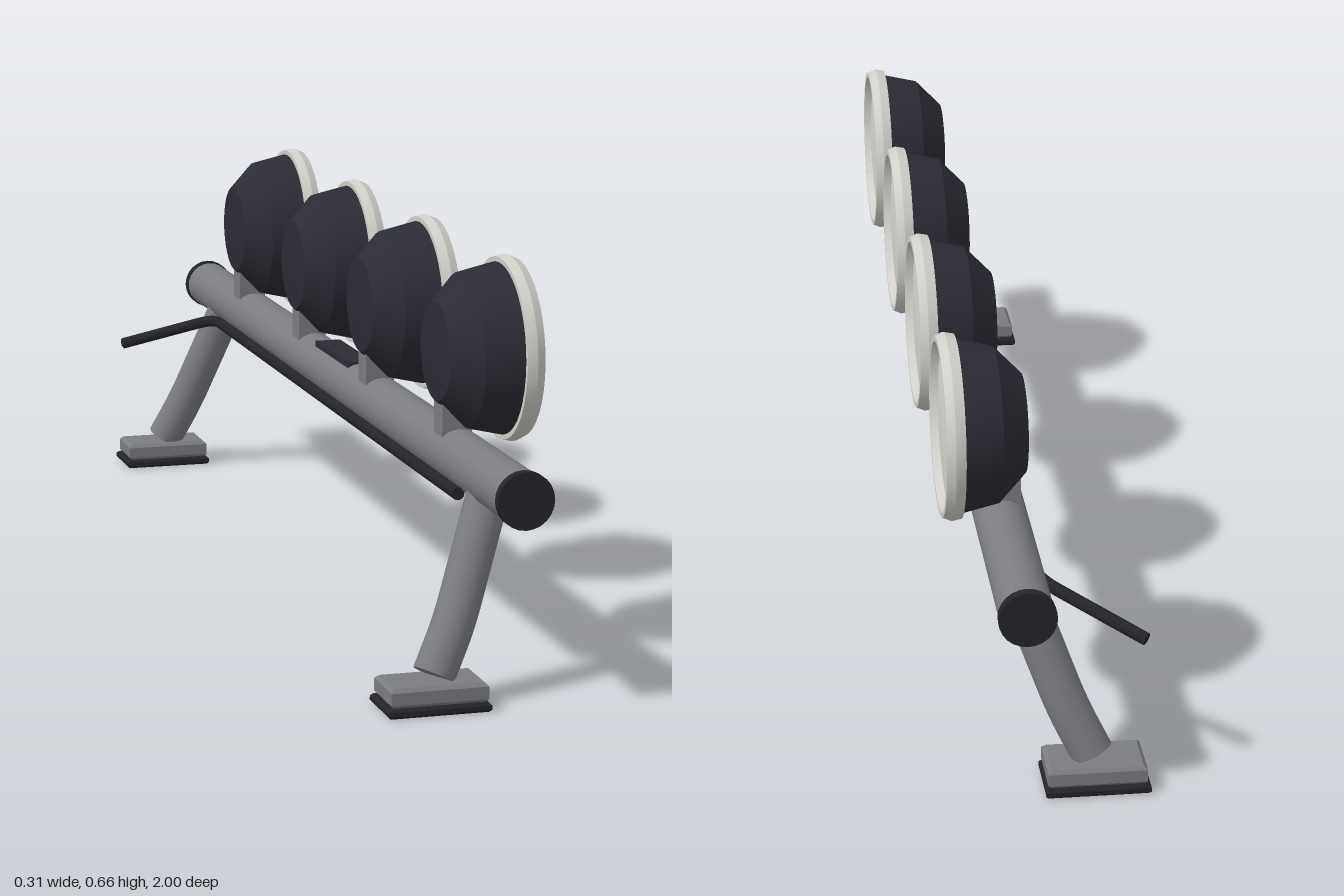
import * as THREE from 'three';
import { toCreasedNormals } from 'three/addons/utils/BufferGeometryUtils.js';

const mat = (name, color) => {
  const m = new THREE.MeshStandardMaterial({ color });
  m.name = name;
  return m;
};

export function createModel() {
  const steel = mat('grey steel', 0x7b7c80);
  const housing = mat('dark housing', 0x2b2b35);
  const rubber = mat('black rubber', 0x24242b);
  const trim = mat('pale trim', 0xcfcec8);
  const glass = mat('lens glass', 0xd6d6d2);
  const model = new THREE.Group();
  model.name = 'lightBar';

  const add = (parent, name, geo, material, x = 0, y = 0, z = 0) => {
    const mesh = new THREE.Mesh(geo, material);
    mesh.name = name;
    mesh.position.set(x, y, z);
    parent.add(mesh);
    return mesh;
  };
  const V = (x, y, z) => new THREE.Vector3(x, y, z);

  // Lathe turned so that its axis points along +x; profile is [radius, x]
  const turned = (profile, segments = 40) => toCreasedNormals(
    new THREE.LatheGeometry(profile.map(([r, x]) => new THREE.Vector2(r, x)), segments)
      .rotateZ(-Math.PI / 2), 0.35);

  // Cylinder along z
  const rod = (r, length) => new THREE.CylinderGeometry(r, r, length, 24).rotateX(Math.PI / 2);

  // Closed round tube through straight segments with softened bends
  const pipe = (points, r, sides) => {
    const path = new THREE.CurvePath();
    let start = points[0];
    for (let i = 1; i < points.length - 1; i++) {
      const p = points[i];
      const a = p.clone().lerp(points[i - 1], Math.min(0.4, 0.04 / p.distanceTo(points[i - 1])));
      const b = p.clone().lerp(points[i + 1], Math.min(0.4, 0.04 / p.distanceTo(points[i + 1])));
      path.add(new THREE.LineCurve3(start, a));
      path.add(new THREE.QuadraticBezierCurve3(a, p, b));
      start = b;
    }
    path.add(new THREE.LineCurve3(start, points[points.length - 1]));
    return new THREE.TubeGeometry(path, 120, r, sides);
  };
  const endDisc = (parent, name, r, material, at, from) => {
    const disc = add(parent, name, new THREE.CircleGeometry(r, 16), material, at.x, at.y, at.z);
    disc.quaternion.setFromUnitVectors(V(0, 0, 1), at.clone().sub(from).normalize());
  };

  // Slab with bevelled edges, standing on y = 0
  const slab = (w, h, d, b) => {
    const x = w / 2 - b, z = d / 2 - b;
    const s = new THREE.Shape([[-x, -z], [x, -z], [x, z], [-x, z]].map(p => new THREE.Vector2(...p)));
    return new THREE.ExtrudeGeometry(s, {
      depth: h - 2 * b, bevelSize: b, bevelThickness: b, bevelSegments: 1,
    }).rotateX(-Math.PI / 2).translate(0, b, 0);
  };

  // Main crossbar with end caps
  add(model, 'crossbar', rod(0.043, 1.975), steel, 0.05, 0.341, 0);
  for (const s of [-1, 1]) {
    add(model, 'endCap', rod(0.0455, 0.016), rubber, 0.05, 0.341, s * 0.992);
  }

  // Bent legs and feet
  for (const s of [-1, 1]) {
    const leg = new THREE.Group();
    leg.name = 'leg';
    model.add(leg);
    const pts = [V(0.052, 0.335, s * 0.825), V(-0.026, 0.127, s * 0.882), V(-0.064, 0.051, s * 0.9)];
    add(leg, 'legTube', pipe(pts, 0.034, 20), steel);
    endDisc(leg, 'legEnd', 0.034, steel, pts[2], pts[1]);
    add(leg, 'foot', slab(0.157, 0.032, 0.094, 0.006), steel, -0.068, 0.014, s * 0.902);
    add(leg, 'footPad', slab(0.166, 0.015, 0.104, 0.004), rubber, -0.069, 0, s * 0.902);
  }

  // Round lamps facing +x, each on a bracket
  const bodyGeo = turned([[0, 0.012], [0.04, 0.0125], [0.08, 0.016], [0.125, 0.06], [0.139, 0.122]]);
  const rimGeo = turned([[0.125, 0.121], [0.147, 0.121], [0.15, 0.137], [0.144, 0.151],
    [0.136, 0.151], [0.126, 0.138], [0.125, 0.121]]);
  const lensGeo = turned([[0.128, 0.138], [0.09, 0.142], [0.045, 0.145], [0, 0.146]]);
  for (const z of [-0.645, -0.215, 0.215, 0.645]) {
    const lamp = new THREE.Group();
    lamp.name = 'lamp';
    lamp.position.set(0, 0.508, z);
    model.add(lamp);
    add(lamp, 'lampHousing', bodyGeo, housing);
    add(lamp, 'lampRim', rimGeo, trim);
    add(lamp, 'lampLens', lensGeo, glass);
    add(lamp, 'lampBracket', new THREE.BoxGeometry(0.05, 0.085, 0.045), steel, 0.046, -0.108, 0);
  }

  // Dark strip on top of the bar between the middle lamps
  add(model, 'topStrip', new THREE.BoxGeometry(0.046, 0.014, 0.21), housing, 0.05, 0.38, 0);

  // Cable under the bar, bending away at one end
  const cable = [V(0.012, 0.306, 0.78), V(0.012, 0.306, -0.79), V(-0.148, 0.245, -0.9)];
  add(model, 'cable', pipe(cable, 0.0105, 10), rubber);
  endDisc(model, 'cableEnd', 0.0105, rubber, cable[0], cable[1]);
  endDisc(model, 'cableEnd', 0.0105, rubber, cable[2], cable[1]);

  return model;
}
